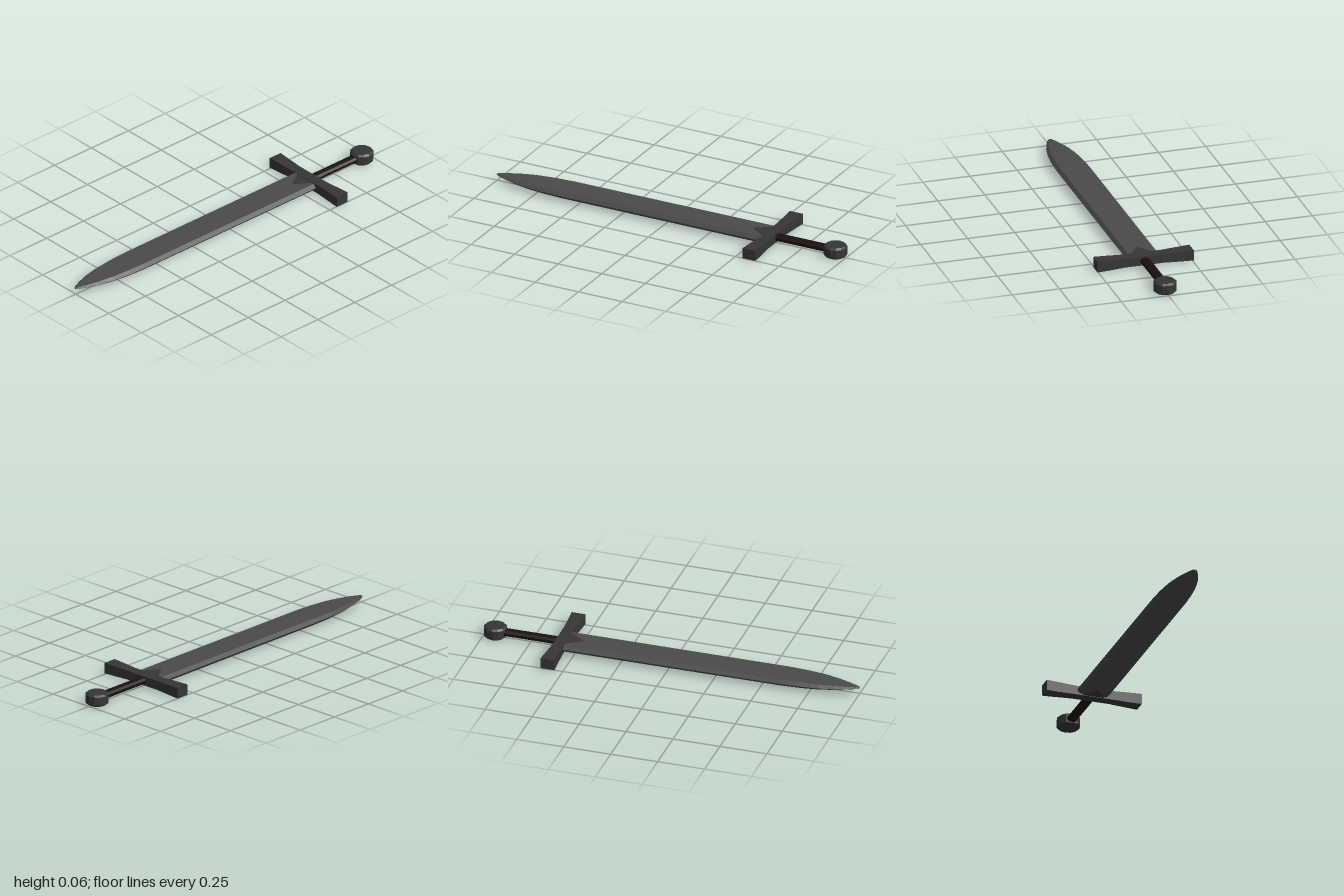
import * as THREE from 'three';

const MID = 0.031; // height of the sword's centre plane

function material(color) {
  return new THREE.MeshStandardMaterial({ color, flatShading: true, side: THREE.DoubleSide });
}

// Joins equal-sized rings of [x, y, z] points and caps both ends.
function loft(rings) {
  const n = rings[0].length;
  const index = [];
  for (let r = 0; r < rings.length - 1; r++) {
    for (let i = 0; i < n; i++) {
      const j = (i + 1) % n, a = r * n, b = a + n;
      index.push(a + i, a + j, b + j, a + i, b + j, b + i);
    }
  }
  const last = (rings.length - 1) * n;
  for (let i = 1; i < n - 1; i++) {
    index.push(0, i + 1, i, last, last + i, last + i + 1);
  }
  const g = new THREE.BufferGeometry();
  g.setAttribute('position', new THREE.Float32BufferAttribute(rings.flat(2), 3));
  g.setIndex(index);
  g.computeVertexNormals();
  return g;
}

function add(group, name, geometry, mat) {
  const mesh = new THREE.Mesh(geometry, mat);
  mesh.name = name;
  group.add(mesh);
  return mesh;
}

export function createModel() {
  const sword = new THREE.Group();
  sword.name = 'sword';
  const steel = material(0x4a4a4a);
  const iron = material(0x363636);
  const leather = material(0x1b110d);

  // Blade: flat faces with bevelled edges; [z, half width, half flat, half thickness]
  const stations = [
    [-0.57, 0.088, 0.072, 0.018],
    [0.6, 0.088, 0.072, 0.017],
    [0.7, 0.084, 0.068, 0.016],
    [0.8, 0.074, 0.058, 0.014],
    [0.88, 0.057, 0.042, 0.011],
    [0.94, 0.037, 0.025, 0.008],
    [0.985, 0.018, 0.01, 0.005],
    [1.0, 0.006, 0.003, 0.003],
  ];
  const blade = loft(stations.map(([z, w, f, t]) => [
    [w, 0, z], [f, t, z], [-f, t, z], [-w, 0, z], [-f, -t, z], [f, -t, z],
  ]));
  add(sword, 'blade', blade, steel).position.set(-0.002, MID + 0.002, 0);

  // Crossguard: bar flaring to its ends; [x, half height, half depth]
  const bar = [
    [-0.255, 0.028, 0.037], [-0.2, 0.0275, 0.033], [-0.1, 0.024, 0.028],
    [0.1, 0.024, 0.028], [0.2, 0.0275, 0.033], [0.255, 0.028, 0.037],
  ];
  const guard = loft(bar.map(([x, h, d]) => [
    [x, -h, -d], [x, h, -d], [x, h, d], [x, -h, d],
  ]));
  add(sword, 'crossguard', guard, iron).position.set(0, MID, -0.58);

  // Triangular langet lying over both faces of the blade
  const triangle = new THREE.Shape([
    new THREE.Vector2(-0.062, -0.56),
    new THREE.Vector2(0.062, -0.56),
    new THREE.Vector2(0, -0.47),
  ]);
  const langet = new THREE.ExtrudeGeometry(triangle, { depth: 0.044, bevelEnabled: false });
  langet.rotateX(Math.PI / 2);
  add(sword, 'langet', langet, iron).position.y = MID + 0.022;

  // Grip
  const grip = new THREE.CylinderGeometry(0.026, 0.026, 0.31, 10);
  grip.scale(1, 1, 0.72);
  grip.rotateX(Math.PI / 2);
  add(sword, 'grip', grip, leather).position.set(0, MID, -0.745);

  // Pommel: chamfered disc lying flat
  const profile = [[0, -0.031], [0.05, -0.031], [0.06, -0.022], [0.06, 0.022], [0.05, 0.031], [0, 0.031]]
    .map(([r, y]) => new THREE.Vector2(r, y));
  add(sword, 'pommel', new THREE.LatheGeometry(profile, 12), iron).position.set(0, MID, -0.94);

  return sword;
}
